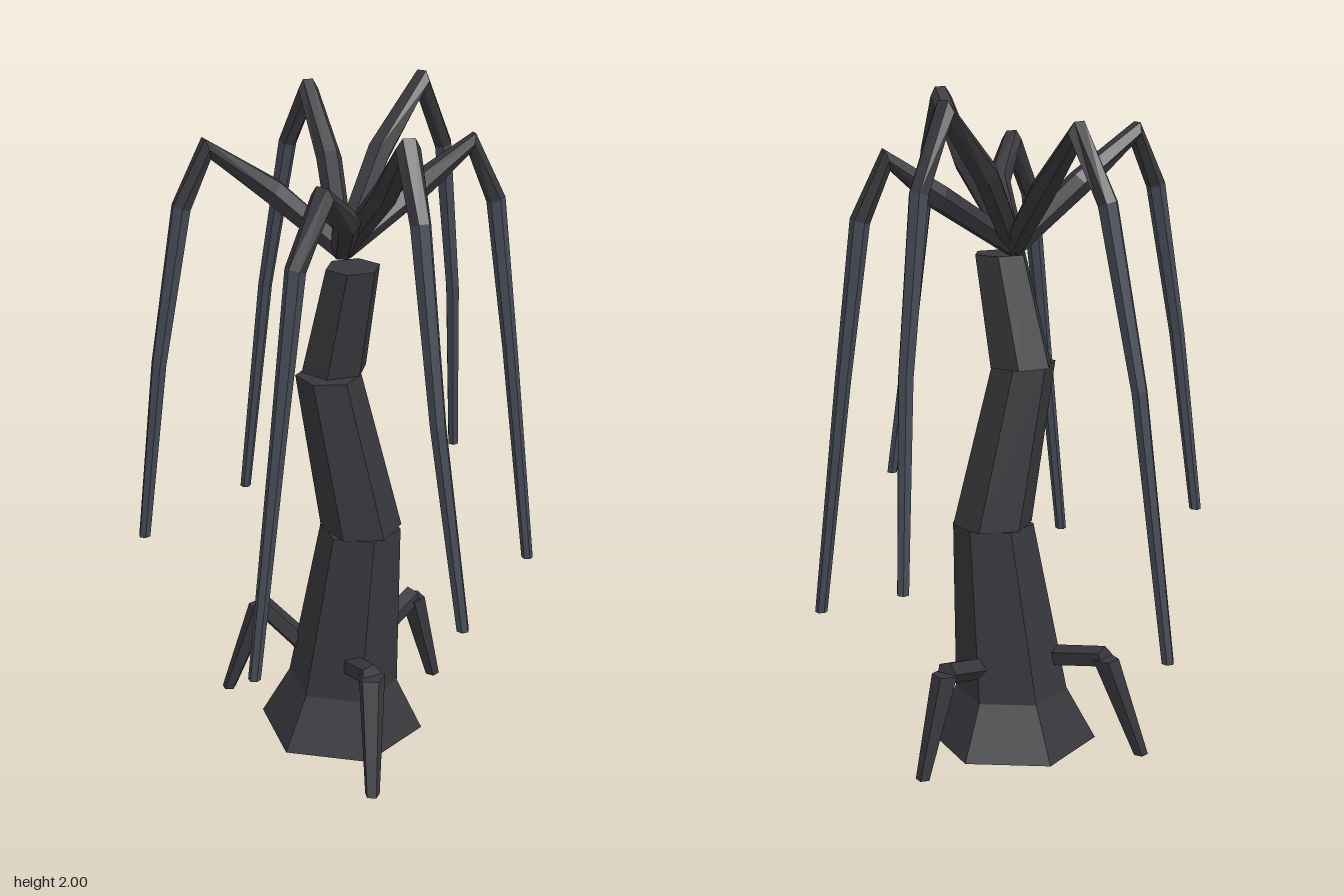
import * as THREE from 'three';

const V = (p) => new THREE.Vector3(...p);
const UP = new THREE.Vector3(0, 1, 0);

// Capped loft: rings of [x, y, z, radius]; sideways fixes the ring orientation.
// tangents may be overridden per ring to keep an end cut level.
function loft(rings, sides, sideways, turn = 0, tangents = {}) {
  const pts = rings.map((r) => V(r.slice(0, 3)));
  const loops = rings.map((r, i) => {
    const t = tangents[i] ? tangents[i].clone() : new THREE.Vector3();
    if (!tangents[i]) {
      if (i > 0) t.add(pts[i].clone().sub(pts[i - 1]).normalize());
      if (i < pts.length - 1) t.add(pts[i + 1].clone().sub(pts[i]).normalize());
    }
    t.normalize();
    const s = sideways.clone().addScaledVector(t, -sideways.dot(t)).normalize();
    const n = t.clone().cross(s);
    return Array.from({ length: sides }, (_, k) => {
      const a = turn + (k / sides) * Math.PI * 2;
      return pts[i].clone().addScaledVector(s, Math.cos(a) * r[3]).addScaledVector(n, Math.sin(a) * r[3]);
    });
  });
  const out = [];
  const tri = (...vs) => vs.forEach((v) => out.push(v.x, v.y, v.z));
  const last = loops.length - 1;
  for (let k = 0; k < sides; k++) {
    const m = (k + 1) % sides;
    for (let i = 0; i < last; i++) {
      const a = loops[i], b = loops[i + 1];
      tri(a[k], a[m], b[m]);
      tri(a[k], b[m], b[k]);
    }
    tri(pts[0], loops[0][m], loops[0][k]);
    tri(pts[last], loops[last][k], loops[last][m]);
  }
  const g = new THREE.BufferGeometry();
  g.setAttribute('position', new THREE.Float32BufferAttribute(out, 3));
  g.computeVertexNormals();
  return g;
}

export function createModel() {
  const model = new THREE.Group();
  const bark = new THREE.MeshStandardMaterial({ color: 0x37373c, flatShading: true });
  bark.name = 'charcoal bark';
  const slate = new THREE.MeshStandardMaterial({ color: 0x434954, flatShading: true });
  slate.name = 'slate frond';
  const add = (parent, name, geometry, material) => {
    const mesh = new THREE.Mesh(geometry, material);
    mesh.name = name;
    parent.add(mesh);
  };

  // Crooked trunk: three hexagonal segments with level ends
  const X = new THREE.Vector3(1, 0, 0);
  const level = { 0: UP, 1: UP, 2: UP };
  const trunk = new THREE.Group();
  trunk.name = 'trunk';
  model.add(trunk);
  add(trunk, 'trunkBase', loft([[0.005, 0, 0.035, 0.26], [0.01, 0.165, 0.035, 0.174], [0.065, 0.7, 0.037, 0.124]], 6, X, 0, level), bark);
  add(trunk, 'trunkMiddle', loft([[0.067, 0.7, 0.035, 0.123], [-0.027, 1.2, 0.069, 0.097]], 6, X, Math.PI / 12, level), bark);
  add(trunk, 'trunkTop', loft([[-0.021, 1.2, 0.016, 0.1], [0.043, 1.53, 0.055, 0.082]], 6, X, Math.PI / 6, level), bark);

  // Drooping fronds: arm point, apex, shoulder, lower bend, tip
  const crown = [0, 1.56, -0.005, 0.034];
  const fronds = [
    [[-0.1, 1.75, -0.3], [-0.2, 1.92, -0.47], [-0.28, 1.74, -0.525], [-0.37, 1.25, -0.56], [-0.46, 0.5, -0.585]],
    [[0.06, 1.79, -0.25], [0.155, 1.97, -0.425], [0.215, 1.76, -0.51], [0.25, 1.28, -0.56], [0.256, 0.7, -0.64]],
    [[0.2, 1.72, -0.185], [0.335, 1.83, -0.255], [0.41, 1.66, -0.268], [0.47, 1.2, -0.262], [0.555, 0.5, -0.24]],
    [[-0.19, 1.74, 0.055], [-0.35, 1.88, 0.16], [-0.415, 1.72, 0.205], [-0.49, 1.26, 0.235], [-0.56, 0.7, 0.232]],
    [[0.065, 1.72, 0.26], [0.035, 1.835, 0.43], [-0.02, 1.66, 0.515], [-0.06, 1.2, 0.565], [-0.12, 0.5, 0.645]],
    [[0.16, 1.79, 0.2], [0.255, 1.97, 0.42], [0.305, 1.8, 0.515], [0.37, 1.28, 0.575], [0.455, 0.7, 0.605]],
  ];
  const radii = [0.039, 0.034, 0.029, 0.023, 0.018];
  fronds.forEach((path) => {
    const frond = new THREE.Group();
    frond.name = 'frond';
    model.add(frond);
    const rings = [crown, ...path.map((p, i) => [...p, radii[i]])];
    const side = UP.clone().cross(V([path[1][0], 0, path[1][2]])).normalize();
    // The two pieces share one ring, cut across the bend at the shoulder
    const cut = V(path[2]).sub(V(path[1])).normalize().add(V(path[3]).sub(V(path[2])).normalize());
    add(frond, 'frondArm', loft(rings.slice(0, 4), 6, side, 0, { 3: cut }), bark);
    add(frond, 'frondHanging', loft(rings.slice(3), 6, side, 0, { 0: cut, 2: new THREE.Vector3(0, -1, 0) }), slate);
  });

  // Stilt roots: a slim spur from the trunk and a tapering leg to the ground
  const roots = [
    { from: [-0.12, 0.035], knee: [-0.285, -0.09], foot: [-0.398, -0.08] },
    { from: [0.05, 0.14], knee: [0.145, 0.27], foot: [0.178, 0.425] },
    { from: [0.1, -0.08], knee: [0.185, -0.245], foot: [0.25, -0.3] },
  ];
  roots.forEach(({ from, knee, foot }) => {
    const root = new THREE.Group();
    root.name = 'stiltRoot';
    model.add(root);
    const side = UP.clone().cross(V([foot[0] - from[0], 0, foot[1] - from[1]])).normalize();
    const spur = [[from[0], 0.27, from[1], 0.035], [knee[0], 0.318, knee[1], 0.034]];
    const leg = [[knee[0], 0.315, knee[1], 0.042], [foot[0], 0, foot[1], 0.023]];
    const down = new THREE.Vector3(0, -1, 0);
    add(root, 'rootSpur', loft(spur, 5, side), bark);
    add(root, 'rootLeg', loft(leg, 5, side, 0, { 0: down, 1: down }), bark);
  });

  return model;
}
